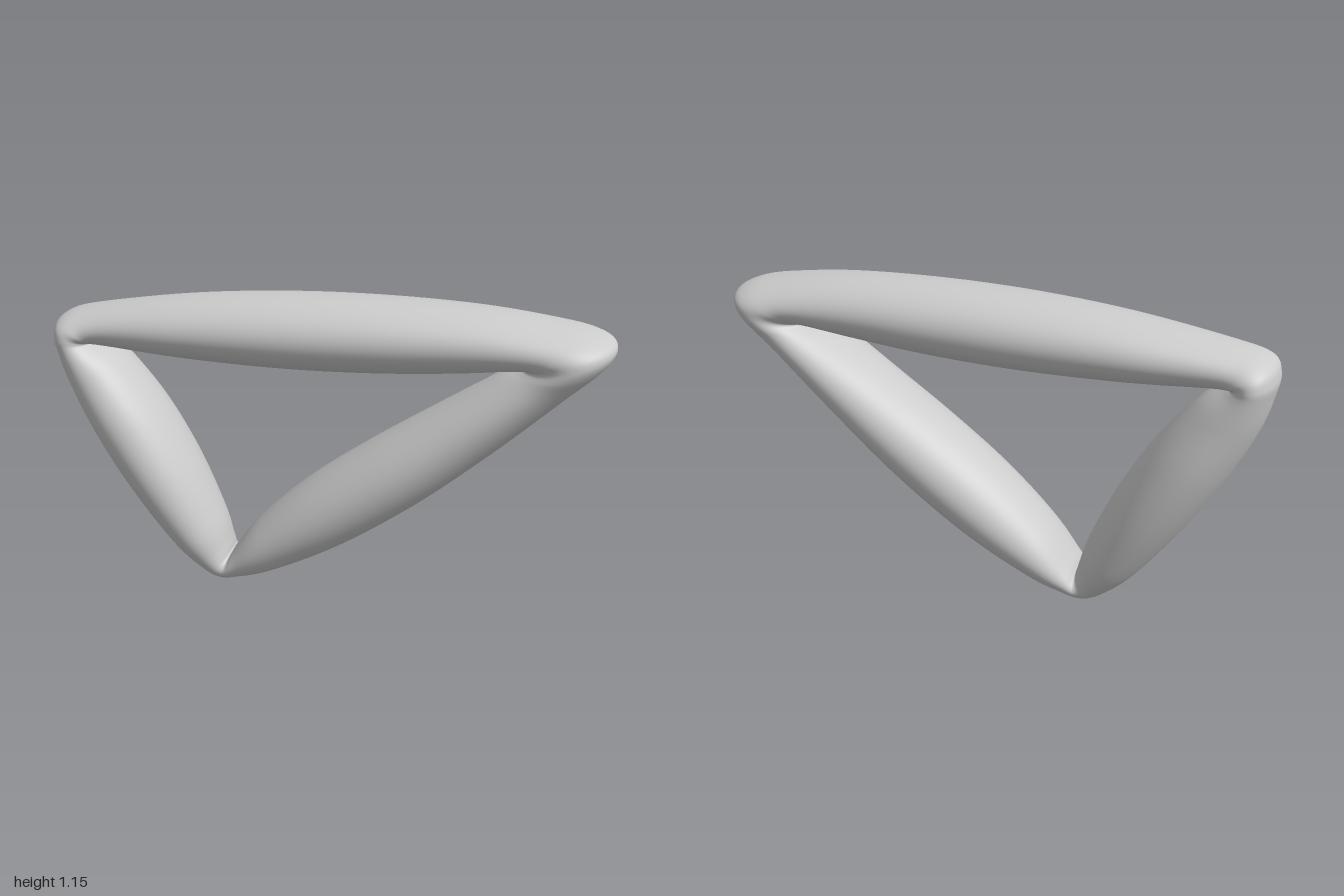
import * as THREE from 'three';

// Cross-sections around the ring: [outer x, outer y, inner x, inner y, half depth]
const sections = [
  // left corner into top bar
  [-1.0, 0.965, -0.84, 0.922, 0.155],
  [-0.97, 1.018, -0.825, 0.917, 0.15],
  [-0.85, 1.055, -0.76, 0.905, 0.14],
  [-0.5, 1.108, -0.5, 0.885, 0.172],
  [-0.15, 1.137, -0.15, 0.876, 0.191],
  [0.2, 1.145, 0.18, 0.884, 0.191],
  [0.55, 1.133, 0.48, 0.908, 0.181],
  [0.82, 1.1, 0.64, 0.933, 0.181],
  [0.95, 1.07, 0.683, 0.941, 0.189],
  // right corner into sloping bar
  [1.0, 1.03, 0.692, 0.939, 0.191],
  [0.97, 0.965, 0.675, 0.928, 0.19],
  [0.85, 0.845, 0.61, 0.893, 0.178],
  [0.62, 0.625, 0.4, 0.76, 0.182],
  [0.36, 0.4, 0.16, 0.6, 0.191],
  [0.08, 0.2, -0.06, 0.435, 0.184],
  [-0.18, 0.06, -0.24, 0.265, 0.155],
  [-0.33, 0.01, -0.335, 0.14, 0.12],
  // bottom corner into left bar
  [-0.4, 0.002, -0.355, 0.108, 0.108],
  [-0.47, 0.035, -0.365, 0.145, 0.12],
  [-0.58, 0.142, -0.395, 0.25, 0.155],
  [-0.73, 0.35, -0.49, 0.47, 0.187],
  [-0.86, 0.565, -0.61, 0.68, 0.191],
  [-0.955, 0.765, -0.74, 0.845, 0.17],
  [-0.993, 0.9, -0.825, 0.913, 0.157],
];

function closedCurve(toPoint) {
  return new THREE.CatmullRomCurve3(sections.map(toPoint), true, 'catmullrom', 0.5);
}

// Elliptical sections swept around the closed triangular path
function ringGeometry(steps, sides) {
  const outer = closedCurve(([x, y, , , d]) => new THREE.Vector3(x, y, d));
  const inner = closedCurve(([, , x, y]) => new THREE.Vector3(x, y, 0));
  const positions = [], index = [];
  for (let i = 0; i < steps; i++) {
    const o = outer.getPoint(i / steps), n = inner.getPoint(i / steps);
    for (let j = 0; j < sides; j++) {
      const a = (j / sides) * Math.PI * 2;
      const k = (1 + Math.cos(a)) / 2;
      positions.push(n.x + (o.x - n.x) * k, n.y + (o.y - n.y) * k, o.z * Math.sin(a));
      const i2 = (i + 1) % steps, j2 = (j + 1) % sides;
      const p = i * sides + j, q = i * sides + j2, r = i2 * sides + j, s = i2 * sides + j2;
      index.push(p, q, r, q, s, r);
    }
  }
  const geometry = new THREE.BufferGeometry();
  geometry.setAttribute('position', new THREE.Float32BufferAttribute(positions, 3));
  geometry.setIndex(index);
  geometry.computeVertexNormals();
  return geometry;
}

export function createModel() {
  const group = new THREE.Group();
  group.name = 'triangularRing';
  const ring = new THREE.Mesh(
    ringGeometry(sections.length * 10, 64),
    new THREE.MeshStandardMaterial({ color: 0xcccccc })
  );
  ring.name = 'ring';
  group.add(ring);
  return group;
}
